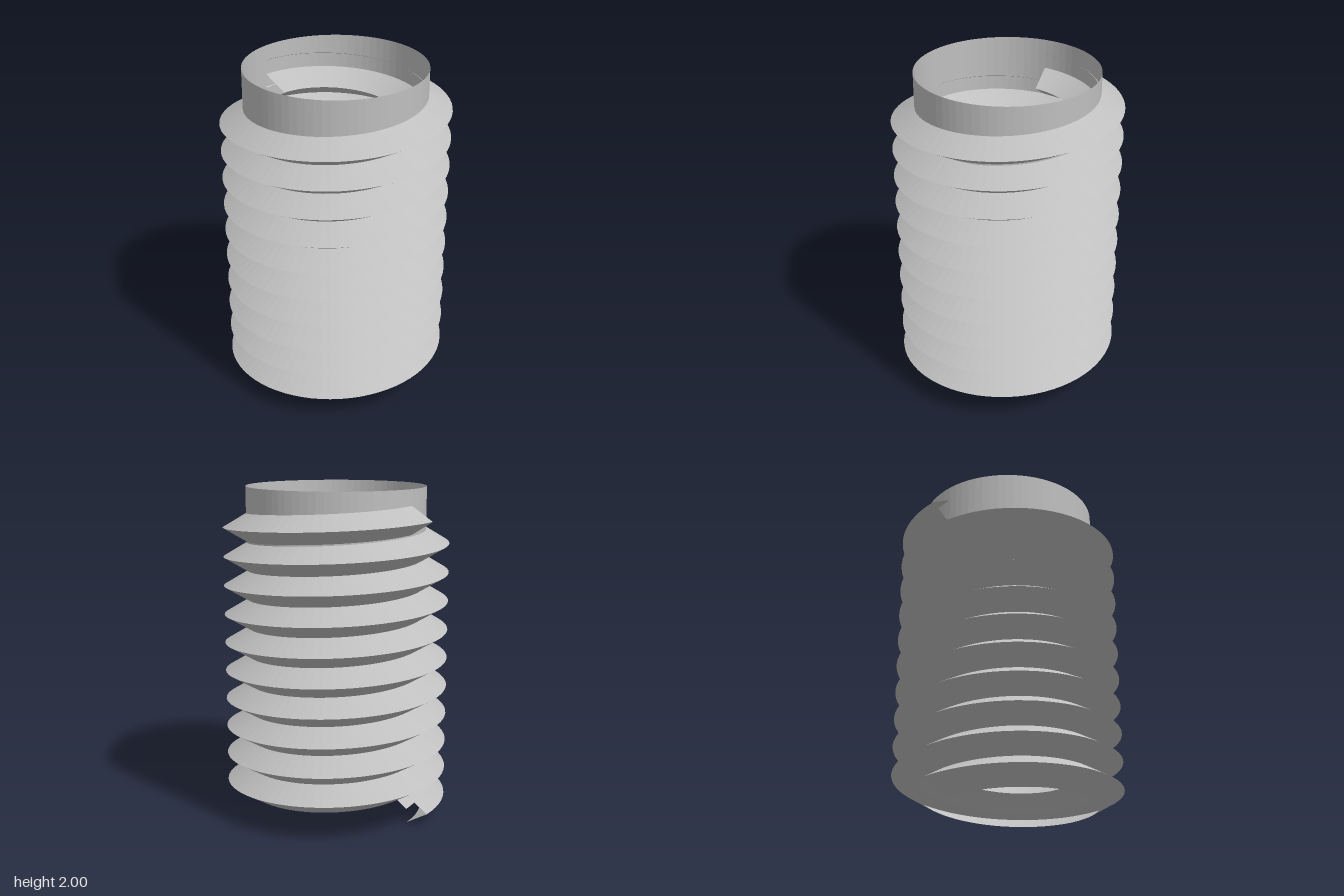
import * as THREE from 'three';

const SEGMENTS = 72;      // facets per turn
const PITCH = 0.1737;     // rise per turn
const HALF = PITCH / 2;
const ROOT = 0.53, CREST = 0.676, INNER = 0.39;

// Sweeps a profile of [radius, height] points along a helix starting at the back
function helixSheet(profile, turns) {
  const n = Math.round(turns * SEGMENTS), rows = profile.length;
  const positions = [], index = [];
  for (let i = 0; i <= n; i++) {
    const a = (i / SEGMENTS) * Math.PI * 2;
    const rise = (i / SEGMENTS) * PITCH;
    for (const [r, y] of profile) positions.push(-r * Math.sin(a), y + rise, -r * Math.cos(a));
  }
  for (let i = 0; i < n; i++) {
    for (let j = 0; j < rows - 1; j++) {
      const a = i * rows + j, b = a + rows;
      index.push(a, b, a + 1, b, b + 1, a + 1);
    }
  }
  const g = new THREE.BufferGeometry();
  g.setAttribute('position', new THREE.Float32BufferAttribute(positions, 3));
  g.setIndex(index);
  const flat = g.toNonIndexed();
  flat.computeVertexNormals();
  return flat;
}

export function createModel() {
  const group = new THREE.Group();
  group.name = 'threadedSleeve';
  const grey = new THREE.MeshStandardMaterial({ color: 0xbfbfbf, side: THREE.DoubleSide, flatShading: true });
  grey.name = 'plain grey';

  const add = (name, geometry) => {
    const mesh = new THREE.Mesh(geometry, grey);
    mesh.name = name;
    group.add(mesh);
    return mesh;
  };

  // Outer thread: ten turns of an outward V, open at both ends
  add('outerThread', helixSheet([[ROOT, 0], [CREST, HALF], [ROOT, PITCH]], 10));

  // Inner thread: nine turns of an inward V, half a pitch higher
  add('innerThread', helixSheet([[ROOT, 3 * HALF], [INNER, PITCH], [ROOT, HALF]], 9));

  // Thin plain collar rising out of the top turn
  const bottom = 1.65, top = 2;
  const collar = add('collar', new THREE.CylinderGeometry(0.537, 0.537, top - bottom, SEGMENTS, 1, true));
  collar.position.y = (top + bottom) / 2;

  return group;
}
